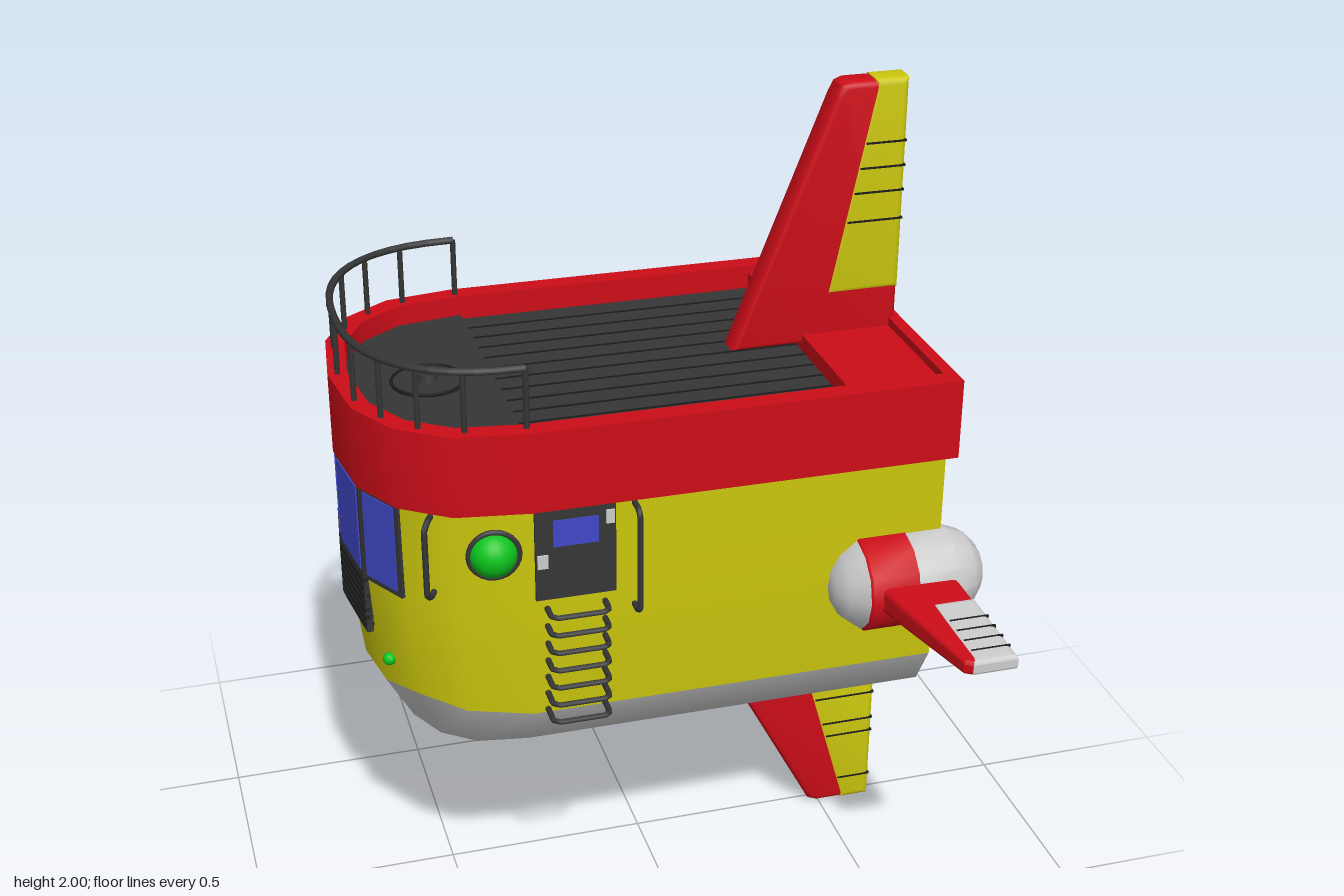
import * as THREE from 'three';
import { toCreasedNormals } from 'three/addons/utils/BufferGeometryUtils.js';

const mat = (color) => new THREE.MeshStandardMaterial({ color, side: THREE.DoubleSide });
const GREY = mat(0xcccccc), RED = mat(0xcc0d18), YELLOW = mat(0xcac60e), DARK = mat(0x363636);
const BLACK = mat(0x1c1c1c), BLUE = mat(0x4048c8), GREEN = mat(0x0cc41c);
const START = -0.36; // where the straight sides turn into the rounded nose

// D-shaped plan outline: straight sides, superelliptic nose towards -x
const arc = (w, nose, deg) => {
  const s = Math.sin(deg * Math.PI / 180), c = Math.cos(deg * Math.PI / 180);
  return [START - (nose + START) * Math.pow(Math.abs(s), 0.82), w * Math.sign(c) * Math.pow(Math.abs(c), 0.82)];
};
const plan = (w, nose, back) => {
  const pts = [[back, w]];
  for (let k = 0; k <= 8; k++) pts.push(arc(w, nose, k * 22.5));
  pts.push([back, -w]);
  return pts;
};
const toV2 = (pts) => pts.map(([x, y]) => new THREE.Vector2(x, y));

// Loft of plan outlines; each level is [y, halfWidth, nose, seamRise]
function loft(levels, back) {
  const pos = [], idx = [];
  for (const [y, w, nose, rise = 0] of levels) {
    plan(w, nose, back).forEach(([x, z], i) => {
      const on = i > 0 && i < 10;
      pos.push(x, y + (on ? rise * Math.sin((i - 1) * Math.PI / 4) ** 2 : 0), z);
    });
  }
  const n = 11;
  for (let j = 0; j < levels.length - 1; j++) for (let i = 0; i < n; i++) {
    const a = j * n + i, b = j * n + (i + 1) % n;
    idx.push(a, a + n, b, b, a + n, b + n);
  }
  const g = new THREE.BufferGeometry();
  g.setAttribute('position', new THREE.Float32BufferAttribute(pos, 3));
  g.setIndex(idx);
  return toCreasedNormals(g, 0.7);
}

// Horizontal plate from y0 to y1 with an optional opening
function plate(outline, y0, y1, hole) {
  const s = new THREE.Shape(toV2(outline));
  if (hole) s.holes.push(new THREE.Path(toV2(hole)));
  const g = new THREE.ExtrudeGeometry(s, { depth: y1 - y0, bevelEnabled: false });
  return toCreasedNormals(g.rotateX(-Math.PI / 2).translate(0, y0, 0), 0.7);
}

// Upright slab with rounded edges, centred on z = 0
function slab(pts, th, b = 0.016) {
  const g = new THREE.ExtrudeGeometry(new THREE.Shape(toV2(pts)),
    { depth: th - 2 * b, bevelThickness: b, bevelSize: b, bevelOffset: -b, bevelSegments: 3 });
  return toCreasedNormals(g.translate(0, 0, b - th / 2), 0.7);
}

export function createModel() {
  const root = new THREE.Group();
  const add = (name, geo, m, parent = root) => {
    const mesh = new THREE.Mesh(geo, m);
    mesh.name = name;
    parent.add(mesh);
    return mesh;
  };
  const box = (name, w, h, d, x, y, z, m, parent) => {
    const b = add(name, new THREE.BoxGeometry(w, h, d), m, parent);
    b.position.set(x, y, z);
    return b;
  };
  const tube = (name, pts, r, m = DARK) => {
    const path = new THREE.CurvePath();
    const v = pts.map((p) => new THREE.Vector3(...p));
    for (let i = 1; i < v.length; i++) path.add(new THREE.LineCurve3(v[i - 1], v[i]));
    return add(name, new THREE.TubeGeometry(path, (v.length - 1) * 6, r, 6), m);
  };

  // Hull
  const seam = [0.66, 0.385, 0.69, 0.04];
  add('upperHull', loft([seam, [0.82, 0.397, 0.71], [0.97, 0.4, 0.72], [1.22, 0.4, 0.725]], 0.63), YELLOW);
  add('lowerHull', loft([[0.46, 0, 0.36], [0.48, 0.2, 0.5], [0.55, 0.32, 0.62], seam], 0.63), GREY);

  // Upper band and deck
  add('band', plate(plan(0.425, 0.735, 0.65), 1.21, 1.405, plan(0.375, 0.69, 0.62)), RED);
  add('deckBase', plate(plan(0.4, 0.715, 0.64), 1.212, 1.33), RED);
  add('deck', plate(plan(0.374, 0.689, 0.4), 1.33, 1.345), DARK);
  add('foredeck', plate(plan(0.374, 0.689, -0.35), 1.345, 1.355), DARK);
  box('rearDeckBlock', 0.22, 0.06, 0.75, 0.51, 1.355, 0, RED);
  for (let i = -5; i <= 5; i++) box('plankGroove', 0.75, 0.003, 0.006, 0.025, 1.3455, i * 0.062, BLACK);
  add('hatch', new THREE.CylinderGeometry(0.085, 0.085, 0.01, 24), DARK).position.set(-0.505, 1.358, 0);
  add('hatchRim', new THREE.TorusGeometry(0.085, 0.004, 6, 24).rotateX(Math.PI / 2), BLACK).position.set(-0.505, 1.363, 0);
  add('hatchKnob', new THREE.CylinderGeometry(0.02, 0.025, 0.02, 12), DARK).position.set(-0.505, 1.37, 0);

  // Bow railing
  const rail = [];
  for (let a = 0; a <= 180; a += 7.5) rail.push(arc(0.393, 0.712, a));
  tube('railTop', rail.map(([x, z]) => [x, 1.547, z]), 0.009);
  for (let a = 0; a <= 180; a += 18) {
    const [x, z] = arc(0.393, 0.712, a);
    tube('railPost', [[x, 1.38, z], [x, 1.547, z]], 0.007);
  }

  // Bow windows and grille, one panel per nose facet
  const panel = (name, a0, a1, y0, y1, inset, out, m) => {
    const [x0, z0] = arc(0.4, 0.722, a0), [x1, z1] = arc(0.4, 0.722, a1);
    const len = Math.hypot(x1 - x0, z1 - z0);
    const p = box(name, len - 2 * inset, y1 - y0 - 2 * inset, out * 2, (x0 + x1) / 2, (y0 + y1) / 2, (z0 + z1) / 2, m);
    p.rotation.y = Math.atan2(z0 - z1, x1 - x0);
  };
  for (let a = 45; a < 135; a += 22.5) {
    panel('windowFrame', a, a + 22.5, 0.97, 1.212, 0, 0.008, DARK);
    panel('windowPane', a, a + 22.5, 0.97, 1.212, 0.014, 0.011, BLUE);
  }
  for (const a of [67.5, 90]) {
    panel('grille', a, a + 22.5, 0.82, 0.97, 0, 0.008, DARK);
    for (let y = 0.835; y < 0.96; y += 0.02) panel('grilleSlat', a, a + 22.5, y, y + 0.009, 0, 0.013, BLACK);
  }

  // Vertical fin: red body, coloured rear panel [x0, y0, x1, y1] and grooves
  function fin(name, body, [x0, y0, x1, y1], th, panelMat, lines, rule = (g) => g) {
    const g = new THREE.Group();
    g.name = name;
    add(name + 'Body', rule(slab(body, th)), RED, g);
    add(name + 'Panel', rule(slab([[x0 - 0.012, y0], [0.64, y0], [0.64, y1], [x1 - 0.012, y1]], th + 0.004)), panelMat, g);
    for (const y of lines) {
      const x = x0 + (x1 - x0) * (y - y0) / (y1 - y0);
      const line = new THREE.BoxGeometry(0.639 - x, 0.005, th + 0.006);
      add(name + 'Groove', rule(line.translate((0.639 + x) / 2, y, 0)), BLACK, g);
    }
    root.add(g);
    return g;
  }
  fin('topFin', [[0.225, 1.36], [0.462, 1.965], [0.475, 1.99], [0.495, 1.998], [0.638, 1.998], [0.638, 1.36]],
    [0.465, 1.48, 0.57, 2], 0.074, YELLOW, [1.66, 1.73, 1.79, 1.85]);
  fin('bottomFin', [[0.21, 0.5], [0.455, 0.04], [0.47, 0.012], [0.495, 0.002], [0.638, 0.002], [0.638, 0.5]],
    [0.465, 0.37, 0.57, 0], 0.074, YELLOW, [0.07, 0.21, 0.25, 0.33]);

  // Parts mirrored on both sides
  for (const s of [1, -1]) {
    // Pod turned about x, flattened on the inner side
    const pod = (name, pts, m) => {
      const g = new THREE.LatheGeometry(pts.map(([x, r]) => new THREE.Vector2(r, x)), 12).rotateZ(-Math.PI / 2);
      const p = g.attributes.position;
      for (let i = 0; i < p.count; i++) p.setZ(i, s * Math.max(p.getZ(i) * s, -0.08));
      add(name, toCreasedNormals(g, 0.6), m).position.set(0, 0.9, 0.4 * s);
    };
    pod('podNose', [[0.353, 0], [0.358, 0.04], [0.38, 0.08], [0.42, 0.112]], GREY);
    pod('podBand', [[0.42, 0.112], [0.425, 0.116], [0.54, 0.116]], RED);
    pod('podTail', [[0.54, 0.114], [0.64, 0.114], [0.69, 0.094], [0.72, 0.06], [0.733, 0.03], [0.733, 0]], GREY);

    // Side fin thins towards its tip
    const taper = (g) => {
      const p = g.attributes.position;
      for (let i = 0; i < p.count; i++) p.setZ(i, p.getZ(i) * (1 - 0.45 * Math.max(0, (p.getY(i) - 0.55) / 0.28)));
      g.computeVertexNormals();
      return g;
    };
    const side = fin('sideFin', [[0.435, 0.45], [0.45, 0.515], [0.515, 0.822], [0.53, 0.833], [0.638, 0.833], [0.638, 0.45]],
      [0.545, 0.59, 0.545, 0.835], 0.066, GREY, [0.67, 0.71, 0.75, 0.79], taper);
    side.rotation.x = s * Math.PI / 2;
    side.position.y = 0.902;

    // Lamps
    add('lamp', new THREE.SphereGeometry(0.056, 20, 14), GREEN).position.set(-0.443, 1.103, 0.387 * s);
    const rim = add('lampRim', new THREE.TorusGeometry(0.057, 0.007, 8, 24), DARK);
    rim.position.set(-0.443, 1.103, 0.397 * s);
    rim.rotation.y = 0.1 * -s;
    add('smallLamp', new THREE.SphereGeometry(0.016, 12, 8), GREEN).position.set(-0.665, 0.765, 0.222 * s);

    // Door
    box('door', 0.187, 0.235, 0.02, -0.258, 1.093, 0.398 * s, DARK);
    box('doorWindow', 0.105, 0.066, 0.02, -0.258, 1.143, 0.401 * s, BLUE);
    box('doorLatch', 0.025, 0.034, 0.02, -0.335, 1.075, 0.402 * s, GREY);
    box('doorHinge', 0.02, 0.034, 0.02, -0.178, 1.17, 0.402 * s, GREY);

    // Ladder rungs and grab rails
    for (let i = 0; i < 7; i++) {
      const y = 0.67 + i * 0.0465, z = 0.45 * s;
      tube('ladderRung', [[-0.325, y, 0.375 * s], [-0.325, y, z - 0.012 * s], [-0.312, y, z],
        [-0.203, y, z], [-0.19, y, z - 0.012 * s], [-0.19, y, 0.375 * s]], 0.007);
    }
    tube('rearGrabRail', [[-0.12, 1.193, 0.38 * s], [-0.12, 1.193, 0.437 * s], [-0.12, 1.178, 0.45 * s],
      [-0.12, 0.945, 0.45 * s], [-0.12, 0.93, 0.437 * s], [-0.12, 0.93, 0.38 * s]], 0.007);
    tube('frontGrabRail', [[-0.57, 1.193, 0.34 * s], [-0.585, 1.193, 0.37 * s], [-0.595, 1.178, 0.385 * s],
      [-0.595, 1.015, 0.385 * s], [-0.585, 1, 0.37 * s], [-0.57, 1, 0.34 * s]], 0.007);
  }
  return root;
}
